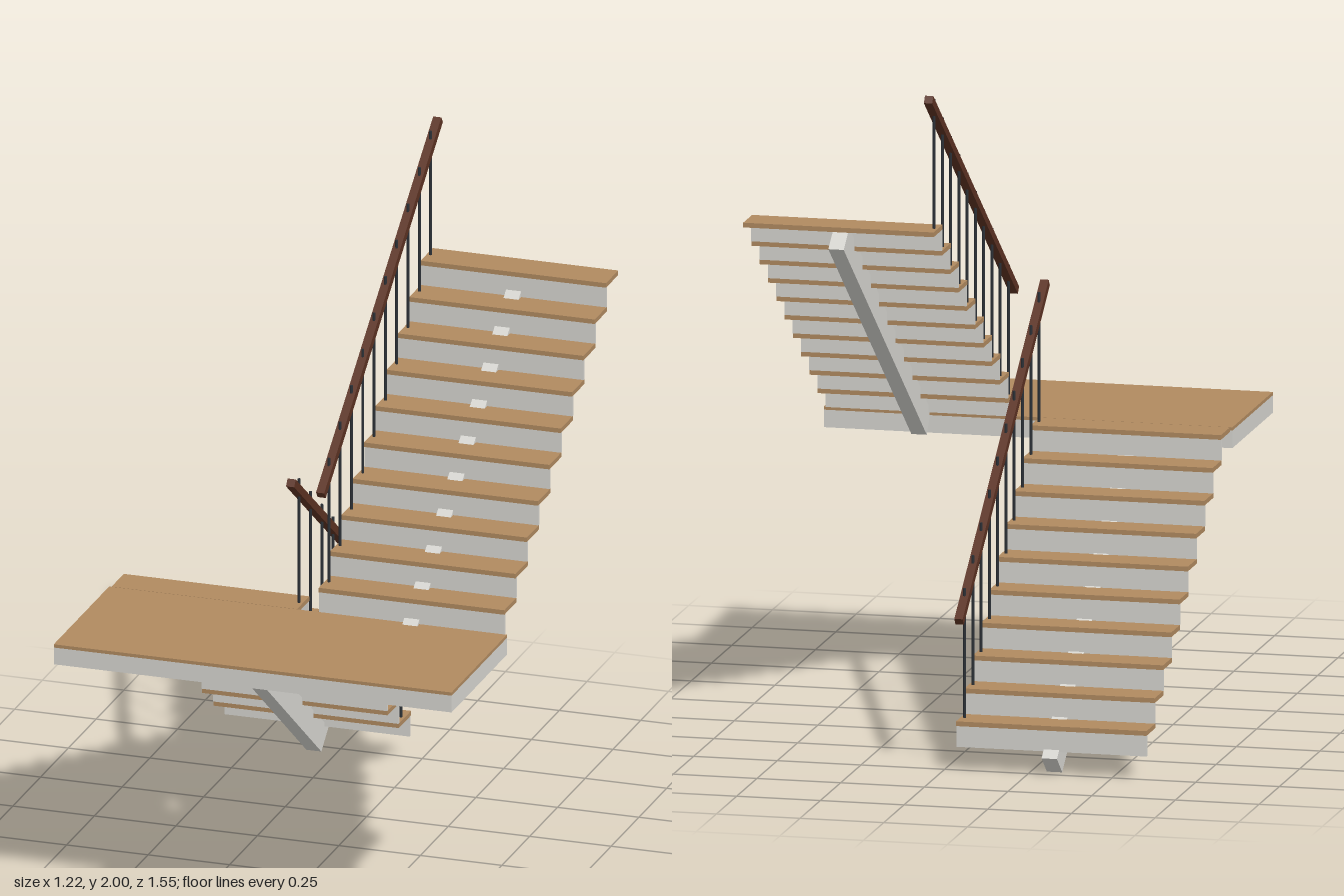
import * as THREE from 'three';

const RISE = 0.0762, RUN = 0.1018, STEPS = 10;
const INNER = 0.034, OUTER = 0.603, RAIL_X = 0.046;
const TREAD_T = 0.014, TREAD_D = 0.11, RISER_T = 0.008;
const LANDING_Y = 0.83;

export function createModel() {
  const material = (name, color) => {
    const m = new THREE.MeshStandardMaterial({ color });
    m.name = name;
    return m;
  };
  const wood = material('oak wood', 0xb08a60);
  const grey = material('pale grey', 0xd6d5d0);
  const railWood = material('dark red wood', 0x5c3222);
  const iron = material('dark iron', 0x2b3036);

  const add = (parent, name, geometry, mat, x = 0, y = 0, z = 0) => {
    const mesh = new THREE.Mesh(geometry, mat);
    mesh.name = name;
    mesh.position.set(x, y, z);
    parent.add(mesh);
    return mesh;
  };

  // Shared geometries
  const width = OUTER - INNER;
  const treadGeo = new THREE.BoxGeometry(width, TREAD_T, TREAD_D);
  const riserGeo = new THREE.BoxGeometry(width, RISE - TREAD_T, RISER_T);
  const balusterGeo = new THREE.CylinderGeometry(0.0045, 0.0045, 0.384, 8);

  // side: +1 or -1 in x; dir: z direction of climbing; front: z of the first tread's nose
  function flight(name, side, dir, front, firstTop, beam, rail) {
    const group = new THREE.Group();
    group.name = name;
    const x = side * (INNER + OUTER) / 2;

    for (let i = 0; i < STEPS; i++) {
      const top = firstTop + i * RISE, nose = front + dir * i * RUN;
      add(group, 'tread', treadGeo, wood, x, top - TREAD_T / 2, nose + dir * TREAD_D / 2);
      add(group, 'riser', riserGeo, grey, x, top - (RISE + TREAD_T) / 2, nose + dir * (RISER_T / 2 + 0.003));
      add(group, 'baluster', balusterGeo, iron, side * RAIL_X, top + 0.192, nose + dir * 0.056);
    }

    // Sloping central beam, drawn as a (z, y) outline and extruded across x
    const shape = new THREE.Shape(beam.map(([z, y]) => new THREE.Vector2(-z, y)));
    const beamGeo = new THREE.ExtrudeGeometry(shape, { depth: 0.046, bevelEnabled: false });
    beamGeo.translate(0, 0, -0.023).rotateY(Math.PI / 2);
    add(group, 'centralBeam', beamGeo, grey, x, 0, 0);

    // Handrail between two (z, y) points
    const [[z0, y0], [z1, y1]] = rail;
    const railGeo = new THREE.BoxGeometry(0.025, 0.024, Math.hypot(z1 - z0, y1 - y0));
    const handrail = add(group, 'handrail', railGeo, railWood, side * RAIL_X, (y0 + y1) / 2, (z0 + z1) / 2);
    handrail.rotation.x = -Math.atan2(y1 - y0, z1 - z0);
    return group;
  }

  const model = new THREE.Group();
  model.name = 'staircase';

  // Lower flight climbs to the front, upper flight climbs to the back
  model.add(flight('lowerFlight', -1, 1, -0.75, LANDING_Y - 9 * RISE,
    [[-0.71, 0], [0.312, 0.768], [0.25, 0.815], [-0.775, 0.053]],
    [[-0.762, 0.443], [0.297, 1.228]]));
  model.add(flight('upperFlight', 1, -1, 0.281, LANDING_Y + RISE,
    [[0.247, 0.768], [-0.775, 1.533], [-0.705, 1.584], [0.297, 0.83]],
    [[-0.758, 1.989], [0.297, 1.201]]));

  // Landing slab with a wooden floor
  const landing = new THREE.Group();
  landing.name = 'landing';
  add(landing, 'landingSlab', new THREE.BoxGeometry(1.22, 0.052, 0.498), grey, 0, 0.794, 0.527);
  add(landing, 'landingFloor', new THREE.BoxGeometry(1.22, 0.01, 0.498), wood, 0, LANDING_Y - 0.005, 0.527);
  model.add(landing);

  return model;
}
